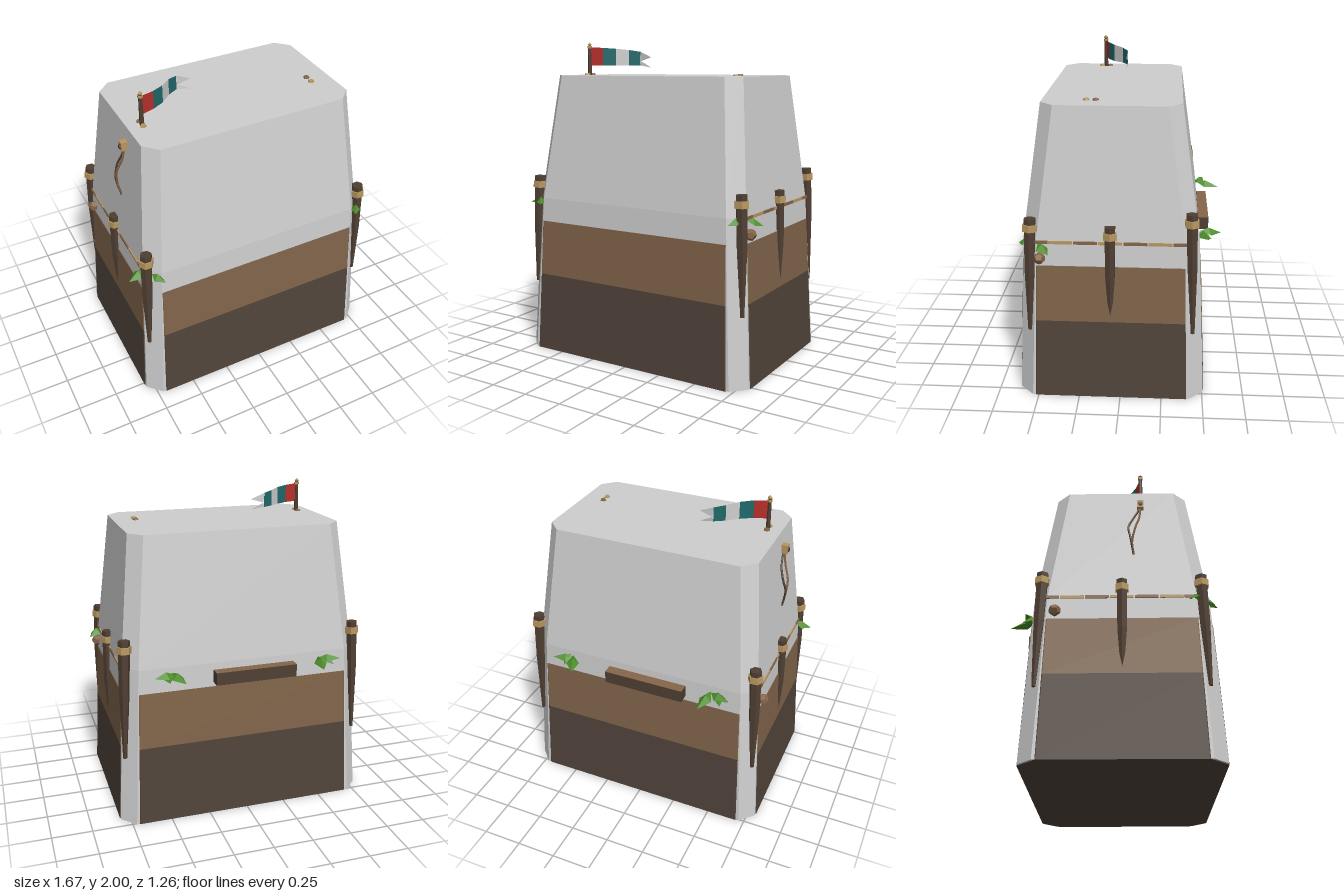
import * as THREE from 'three';

const CX = 0.005, CZ = 0.057; // centre of the rock block

const mat = (name, color, double = false) => {
  const m = new THREE.MeshStandardMaterial({ color, flatShading: true, side: double ? THREE.DoubleSide : THREE.FrontSide });
  m.name = name;
  return m;
};

// Flat-shaded geometry from a list of triangles of [x, y, z] points
function fromTriangles(tris) {
  const g = new THREE.BufferGeometry();
  g.setAttribute('position', new THREE.Float32BufferAttribute(tris.flat(2), 3));
  g.computeVertexNormals();
  return g;
}

// Solid through chamfered rectangles; each ring is [y, halfX, halfZ, chamfer]
function chamferedLoft(rings) {
  const loops = rings.map(([y, hx, hz, c]) => [
    [hx, -hz + c], [hx, hz - c], [hx - c, hz], [-hx + c, hz],
    [-hx, hz - c], [-hx, -hz + c], [-hx + c, -hz], [hx - c, -hz],
  ].map(([x, z]) => [x + CX, y, z + CZ]));
  const tris = [];
  const bottom = loops[0], top = loops[loops.length - 1];
  for (let i = 0; i < 8; i++) {
    const j = (i + 1) % 8;
    for (let k = 0; k + 1 < loops.length; k++) {
      const a = loops[k], b = loops[k + 1];
      tris.push([a[i], b[i], a[j]], [a[j], b[i], b[j]]);
    }
    tris.push([[CX, top[0][1], CZ], top[j], top[i]]);
    tris.push([[CX, bottom[0][1], CZ], bottom[i], bottom[j]]);
  }
  return fromTriangles(tris);
}

// Folded leaf from base to tip with a raised ridge
function leafGeometry(base, tip, width) {
  const b = new THREE.Vector3(...base), t = new THREE.Vector3(...tip);
  const dir = t.clone().sub(b);
  const side = new THREE.Vector3(-dir.z, 0, dir.x).normalize().multiplyScalar(width / 2);
  const mid = b.clone().addScaledVector(dir, 0.4);
  const l = mid.clone().add(side), r = mid.clone().sub(side);
  l.y -= 0.012; r.y -= 0.012;
  mid.y += 0.025;
  const [B, T, L, R, M] = [b, t, l, r, mid].map((v) => v.toArray());
  return fromTriangles([[B, L, M], [L, T, M], [B, M, R], [M, T, R]]);
}

export function createModel() {
  const model = new THREE.Group();
  model.name = 'rockTower';
  const rock = mat('pale rock', 0xcecece);
  const soil = mat('brown soil', 0x80644a);
  const darkSoil = mat('dark soil', 0x51443a);
  const wood = mat('dark wood', 0x4f3f33);
  const plank = mat('brown wood', 0x86664a);
  const tan = mat('tan rope', 0xb8975f);
  const green = mat('leaf green', 0x4f8f2c, true);
  const red = mat('flag red', 0xb8302a, true);
  const teal = mat('flag teal', 0x20696b, true);
  const white = mat('flag white', 0xcfcfcf, true);

  const add = (name, geo, material, pos = [0, 0, 0], parent = model) => {
    const m = new THREE.Mesh(geo, material);
    m.name = name;
    m.position.set(...pos);
    parent.add(m);
    return m;
  };

  // Rock block with a bend at rope height
  add('rockBlock', chamferedLoft([
    [0.002, 0.805, 0.565, 0.085], [1.0, 0.752, 0.518, 0.085], [1.785, 0.668, 0.405, 0.08],
  ]), rock);

  // Soil layers, slightly proud of the flat sides and hidden inside the corners
  const soilRing = (y) => [y, 0.809 - 0.053 * y, 0.569 - 0.047 * y, 0.112 - 0.018 * y];
  add('lowerSoil', chamferedLoft([soilRing(0), soilRing(0.5)]), darkSoil);
  add('upperSoil', chamferedLoft([soilRing(0.5), soilRing(0.85)]), soil);

  // Pointed fence posts with rope bindings
  function post(name, x, z, top, leanX, leanZ, r, tipR) {
    const g = new THREE.Group();
    g.name = name;
    g.position.set(x, top, z);
    g.rotation.set(-leanZ, 0, leanX);
    const len = top - 0.43, upper = 0.32;
    const hex = (rt, rb, h) => new THREE.CylinderGeometry(rt, rb, h, 6).rotateY(Math.PI / 6);
    add('postShaft', hex(r, r * 0.9, upper), wood, [0, -upper / 2, 0], g);
    add('postPoint', hex(r * 0.9, tipR, len - upper), wood, [0, -(len + upper) / 2, 0], g);
    add('postBinding', hex(r + 0.009, r + 0.009, 0.042), tan, [0, -0.055, 0], g);
    model.add(g);
  }
  for (const s of [-1, 1]) {
    const x = CX + s * 0.737, side = s > 0 ? 'Left' : 'Right';
    post('front' + side + 'Post', x, 0.522, 1.135, s * 0.035, 0.03, 0.037, 0.013);
    post('back' + side + 'Post', x, -0.41, s > 0 ? 1.18 : 1.16, s * 0.035, -0.03, 0.037, 0.013);
    post('middle' + side + 'Post', CX + s * 0.757, 0.058, 1.1, s * 0.02, 0, 0.035, 0.003);

    // Striped rope rail between the posts
    for (let i = -3; i <= 3; i++) {
      const length = Math.abs(i) === 3 ? 0.11 : 0.138;
      const z = CZ + Math.sign(i) * (Math.abs(i) === 3 ? 0.42 : Math.abs(i) * 0.145);
      add('ropeRail', new THREE.BoxGeometry(0.014, 0.018, length), i % 2 ? plank : tan, [CX + s * 0.752, 0.995, z]);
    }
  }

  // Loose stones beside the posts
  for (const [x, z] of [[0.775, 0.47], [-0.765, -0.33]]) {
    add('looseStone', new THREE.DodecahedronGeometry(0.036), plank, [x, 0.9, z]);
  }

  // Beam on the back ledge
  add('backBeam', new THREE.BoxGeometry(0.52, 0.08, 0.065),
    [wood, wood, plank, wood, wood, wood], [-0.05, 0.917, -0.499]);

  // Leaf clusters: base, tip, width
  const leaves = [
    [[-0.73, 0.985, 0.47], [-0.84, 0.945, 0.5], 0.08],
    [[-0.71, 0.99, 0.54], [-0.655, 0.965, 0.62], 0.06],
    [[0.75, 0.985, 0.48], [0.83, 0.945, 0.41], 0.08],
    [[0.74, 0.99, 0.53], [0.695, 0.965, 0.6], 0.06],
    [[-0.48, 0.97, -0.47], [-0.45, 0.94, -0.63], 0.08],
    [[-0.48, 0.96, -0.47], [-0.61, 0.96, -0.52], 0.08],
    [[-0.52, 0.97, -0.46], [-0.56, 0.93, -0.54], 0.06],
    [[0.47, 0.97, -0.47], [0.415, 0.94, -0.6], 0.08],
    [[0.46, 0.96, -0.47], [0.59, 0.96, -0.52], 0.08],
    [[0.5, 0.97, -0.46], [0.5, 0.93, -0.54], 0.06],
  ];
  for (const [base, tip, w] of leaves) add('leaf', leafGeometry(base, tip, w), green);

  // Peg with hanging rope loop on the right side
  add('ropePeg', new THREE.CylinderGeometry(0.014, 0.014, 0.09, 6).rotateZ(Math.PI / 2), wood, [-0.675, 1.672, 0.175]);
  add('pegBinding', new THREE.BoxGeometry(0.04, 0.055, 0.04), tan, [-0.692, 1.675, 0.175]);
  const ropePath = (pts) => new THREE.TubeGeometry(
    new THREE.CatmullRomCurve3(pts.map((p) => new THREE.Vector3(...p))), 14, 0.007, 5);
  add('hangingRope', ropePath([[-0.69, 1.65, 0.175], [-0.705, 1.57, 0.165], [-0.735, 1.48, 0.14],
    [-0.73, 1.38, 0.12], [-0.715, 1.3, 0.13]]), plank);
  add('hangingRope', ropePath([[-0.685, 1.65, 0.17], [-0.69, 1.58, 0.13], [-0.715, 1.5, 0.1],
    [-0.735, 1.42, 0.11], [-0.715, 1.3, 0.13]]), wood);

  // Pebbles on the summit
  for (const x of [-0.575, 0.535]) {
    add('pebble', new THREE.CylinderGeometry(0.016, 0.022, 0.014, 5), plank, [x, 1.789, 0.15]);
    add('pebble', new THREE.CylinderGeometry(0.016, 0.022, 0.014, 5), tan, [x, 1.789, 0.205]);
  }

  // Flag pole
  const px = -0.573, pz = 0.18;
  add('flagPole', new THREE.CylinderGeometry(0.011, 0.014, 0.19, 6), wood, [px, 1.88, pz]);
  add('poleBinding', new THREE.CylinderGeometry(0.016, 0.016, 0.014, 6), tan, [px, 1.966, pz]);
  add('poleFinial', new THREE.OctahedronGeometry(0.016), tan, [px, 1.984, pz]);

  // Striped flag along a waving path: x, z, bottom, top
  const wave = [
    [-0.57, 0.18, 1.848, 1.966], [-0.485, 0.153, 1.848, 1.962], [-0.41, 0.11, 1.846, 1.956],
    [-0.345, 0.05, 1.848, 1.948], [-0.28, 0.012, 1.847, 1.937],
  ];
  [red, teal, white, teal].forEach((m, i) => {
    const [x0, z0, b0, t0] = wave[i], [x1, z1, b1, t1] = wave[i + 1];
    const a = [x0, b0, z0], b = [x1, b1, z1], c = [x1, t1, z1], d = [x0, t0, z0];
    add('flagStripe', fromTriangles([[a, b, c], [a, c, d]]), m);
  });

  // Swallow tail of the flag
  const notch = [-0.275, 1.875, 0.01];
  add('flagTail', fromTriangles([
    [notch, [-0.19, 1.9, 0.018], [-0.28, 1.937, 0.012]],
    [[-0.28, 1.847, 0.012], [-0.19, 1.833, 0.018], notch],
  ]), white);

  return model;
}
